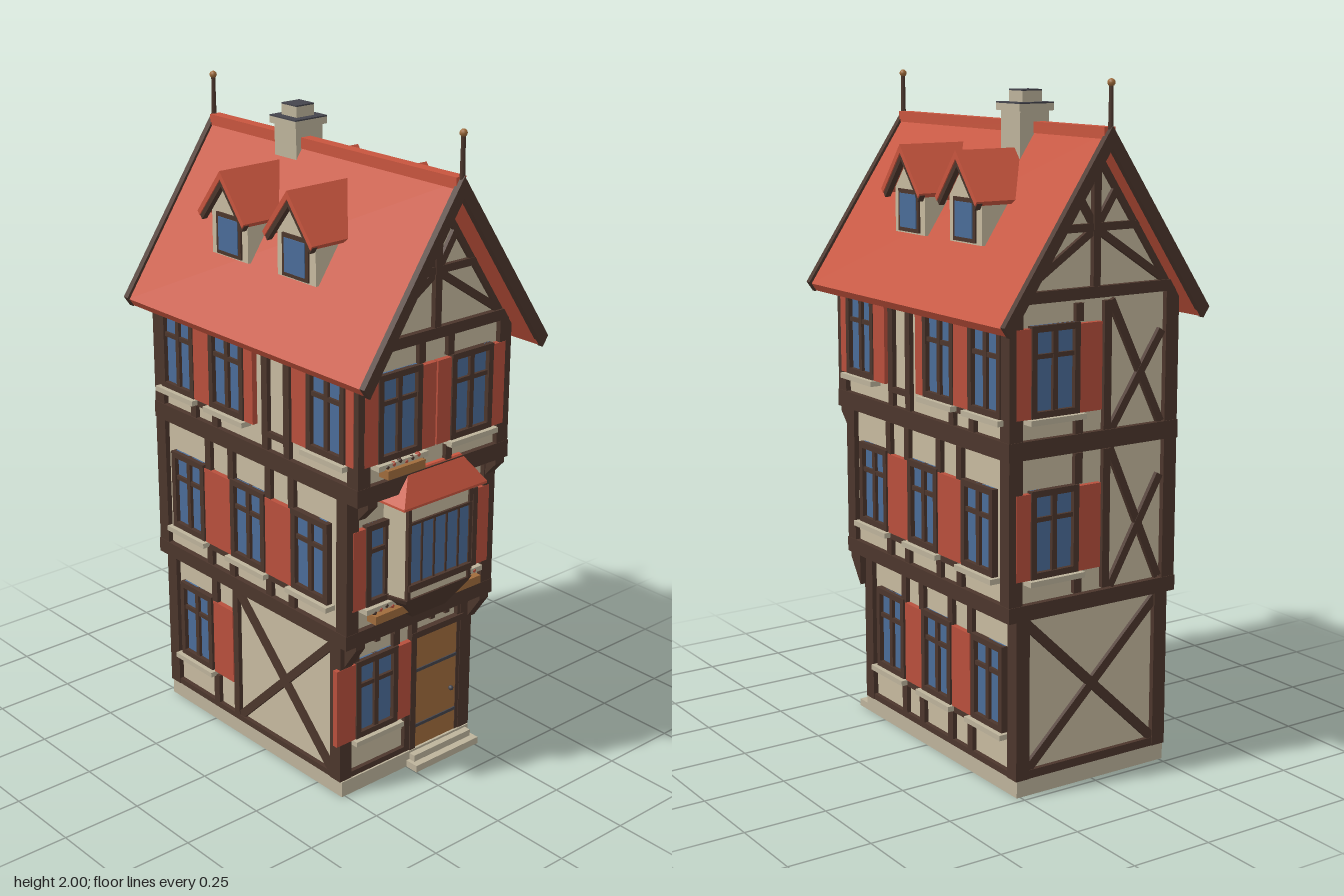
import * as THREE from 'three';

const mat = (name, color) => {
  const m = new THREE.MeshStandardMaterial({ color });
  m.name = name;
  return m;
};
const M = {
  plaster: mat('plaster', 0xc6ba9f), stone: mat('stone', 0xbdb39b), timber: mat('timber', 0x4c362c),
  glass: mat('glass', 0x4a6c98), wood: mat('wood', 0xa06c3c), roof: mat('roofTile', 0xc8553e),
  shutter: mat('shutterRed', 0xb84f3c), slate: mat('slate', 0x45454d),
};

function add(parent, name, geo, material, x = 0, y = 0, z = 0) {
  const m = new THREE.Mesh(geo, material);
  m.name = name;
  m.position.set(x, y, z);
  parent.add(m);
  return m;
}
// box given by its extents
function block(p, name, material, x0, x1, y0, y1, z0, z1) {
  return add(p, name, new THREE.BoxGeometry(Math.abs(x1 - x0), y1 - y0, z1 - z0), material, (x0 + x1) / 2, (y0 + y1) / 2, (z0 + z1) / 2);
}
// straight timber between two points of a wall
function brace(p, u0, v0, u1, v1, w = 0.022, out = 0.012) {
  const m = add(p, 'brace', new THREE.BoxGeometry(Math.hypot(u1 - u0, v1 - v0), w, out + 0.005), M.timber, (u0 + u1) / 2, (v0 + v1) / 2, (out - 0.005) / 2);
  m.rotation.z = Math.atan2(v1 - v0, u1 - u0);
}
const timber = (p, u0, u1, v0, v1, out = 0.014) => block(p, 'timber', M.timber, u0, u1, v0, v1, -0.005, out);
function prism(p, name, material, pts, z0, z1) {
  const geo = new THREE.ExtrudeGeometry(new THREE.Shape(pts.map(q => new THREE.Vector2(...q))), { depth: z1 - z0, bevelEnabled: false });
  return add(p, name, geo, material, 0, 0, z0);
}
// inverted V section: half width, eave height, peak height, vertical thickness
const chevron = (w, ye, yp, t) => [[w, ye], [0, yp], [-w, ye], [-w + t * 0.35, ye - t * 0.5], [0, yp - t], [w - t * 0.35, ye - t * 0.5]];

// casement window with frame, cross bars and sill
function windowUnit(p, uc, w, v0, v1) {
  const g = new THREE.Group();
  g.name = 'window';
  p.add(g);
  const a = uc - w / 2, b = uc + w / 2, f = 0.018, bar = v0 + (v1 - v0) * 0.64;
  block(g, 'pane', M.glass, a + 0.005, b - 0.005, v0, v1, 0, 0.006);
  for (const u of [a, b - f]) block(g, 'frameSide', M.timber, u, u + f, v0, v1, -0.002, 0.02);
  for (const v of [v0, v1 - f]) block(g, 'frameRail', M.timber, a, b, v, v + f, -0.002, 0.02);
  block(g, 'mullion', M.timber, uc - 0.008, uc + 0.008, v0, v1, -0.002, 0.016);
  block(g, 'transom', M.timber, a, b, bar, bar + 0.013, -0.002, 0.015);
  block(g, 'sill', M.stone, a - 0.012, b + 0.012, v0 - 0.016, v0, -0.002, 0.035);
}
const shutter = (p, u0, u1, v0, v1) => block(p, 'shutter', M.shutter, u0, u1, v0, v1, 0, 0.017);

function planter(p, u0, u1, v) {
  block(p, 'planter', M.wood, u0, u1, v, v + 0.026, 0.012, 0.05);
  for (let i = 0; i < 6; i++)
    add(p, 'flower', new THREE.IcosahedronGeometry(0.009, 0), i % 2 ? M.shutter : M.timber, u0 + (u1 - u0) * (i + 0.5) / 6, v + 0.03 + (i % 3) * 0.004, 0.03);
}

// storeys: half width, front, wall bottom and top, window bottom and top
const BACK = -0.465;
const FLOORS = [
  { hw: 0.25, zf: 0.34, y0: 0.04, y1: 0.53, w0: 0.175, w1: 0.43 },
  { hw: 0.275, zf: 0.395, y0: 0.53, y1: 0.99, w0: 0.635, w1: 0.887 },
  { hw: 0.275, zf: 0.44, y0: 0.99, y1: 1.41, w0: 1.09, w1: 1.345 },
];
function wall(p, name, x, z, turn) {
  const g = new THREE.Group();
  g.name = name;
  g.position.set(x, 0, z);
  g.rotation.y = turn;
  p.add(g);
  return g;
}

// side walls: window centres, shutter spans and stud positions, along z
const SIDE = [
  { win: [0.2, -0.063, -0.333], shut: [[0.113, 0.02], [-0.148, -0.245]], studs: [0.125, 0.025, -0.135, -0.24] },
  { win: [0.25, -0.033, -0.323], shut: [[0.165, 0.05], [-0.117, -0.24]], studs: [0.165, 0.06, -0.115, -0.225] },
  { win: [0.32, -0.123, -0.36], shut: [[0.243, 0.175], [0.437, 0.405], [-0.04, 0.0], [-0.203, -0.28]], studs: [0.147, 0.05, -0.185, -0.29] },
];
function sideWall(p, s) {
  FLOORS.forEach((F, i) => {
    const g = wall(p, s > 0 ? 'leftWall' : 'rightWall', s * F.hw, 0, s * Math.PI / 2);
    const U = z => -s * z, D = SIDE[i], b0 = [0.05, 0.565, 1.03][i], b1 = [0.52, 0.975, 1.4][i];
    const panel = s < 0 && i === 0;
    if (i === 0) timber(g, U(F.zf), U(BACK), 0.05, 0.068);
    for (const z of D.win) if (!panel || z < -0.2) windowUnit(g, U(z), 0.16, F.w0, F.w1);
    for (const [a, b] of D.shut) if (!panel || a < -0.1) shutter(g, U(a), U(b), F.w0, F.w1 - 0.008);
    for (const z of D.studs) {
      if (panel && z > -0.2) continue;
      const full = i === 2 && z > 0;
      timber(g, U(z) - 0.013, U(z) + 0.013, b0, full ? b1 : F.w0 - 0.012);
      timber(g, U(z) - 0.013, U(z) + 0.013, F.w1 - 0.01, b1);
    }
    if (!panel) for (const k of [0, 2]) timber(g, U(D.studs[k]), U(D.studs[k + 1]), F.w0 - 0.02, F.w0 - 0.003);
    if (panel) {
      timber(g, U(-0.15), U(-0.125), b0, b1);
      brace(g, U(-0.13), 0.06, U(0.32), 0.5, 0.026);
      brace(g, U(-0.13), 0.5, U(0.32), 0.06, 0.026, 0.013);
    }
  });
}

function gableFrame(g) {
  timber(g, -0.285, 0.285, 1.405, 1.437, 0.018);
  timber(g, -0.012, 0.012, 1.43, 1.82, 0.016);
  timber(g, -0.145, 0.145, 1.588, 1.61);
  for (const s of [-1, 1]) {
    brace(g, s * 0.24, 1.44, s * 0.01, 1.59);
    brace(g, s * 0.01, 1.61, s * 0.075, 1.71);
    brace(g, s * 0.28, 1.4, 0, 1.808, 0.028);
  }
}

function frontWall(p) {
  const [A, B, C] = FLOORS.map((F, i) => wall(p, 'frontWall' + i, 0, F.zf, 0));
  // ground floor with door
  timber(A, -0.25, 0.02, 0.05, 0.068);
  windowUnit(A, -0.122, 0.165, 0.175, 0.43);
  shutter(A, -0.038, 0.02, 0.175, 0.425);
  shutter(A, -0.28, -0.206, 0.175, 0.425);
  timber(A, -0.005, 0.035, 0.05, 0.175);
  timber(A, 0.015, 0.037, 0.05, 0.52, 0.018);
  timber(A, 0.208, 0.24, 0.05, 0.52);
  timber(A, 0.015, 0.23, 0.428, 0.448, 0.02);
  timber(A, -0.215, -0.19, 0.43, 0.52);
  timber(A, -0.055, -0.03, 0.43, 0.52);
  block(A, 'door', M.wood, 0.037, 0.21, 0.045, 0.43, 0, 0.012);
  for (const v of [0.12, 0.31]) block(A, 'doorStrap', M.slate, 0.04, 0.207, v, v + 0.01, 0.01, 0.016);
  add(A, 'doorKnob', new THREE.SphereGeometry(0.008, 10, 8), M.slate, 0.185, 0.205, 0.018);
  for (const u of [-0.15, -0.075, 0.07, 0.13]) block(A, 'joistEnd', M.timber, u - 0.009, u + 0.009, 0.495, 0.525, 0, 0.05);
  // upper floors
  for (const [g, F] of [[B, FLOORS[1]], [C, FLOORS[2]]]) {
    for (const s of [-1, 1]) {
      windowUnit(g, s * 0.138, 0.162, F.w0, F.w1);
      shutter(g, s * 0.003, s * 0.055, F.w0, F.w1 - 0.006);
      shutter(g, s * 0.22, s * 0.268, F.w0, F.w1 - 0.006);
      timber(g, s * 0.055 - 0.012, s * 0.055 + 0.012, F.w1, F.w1 + 0.08);
      timber(g, s * 0.055 - 0.012, s * 0.055 + 0.012, F.w0 - 0.07, F.w0 - 0.012);
    }
  }
  planter(B, -0.21, -0.075, 0.588);
  planter(B, 0.08, 0.21, 0.588);
  planter(C, -0.21, -0.07, 1.05);
  gableFrame(C);
}

function backWall(p) {
  const g = wall(p, 'backWall', 0, BACK, Math.PI);
  timber(g, -0.25, 0.25, 0.05, 0.075);
  brace(g, -0.23, 0.07, 0.23, 0.51, 0.028);
  brace(g, -0.23, 0.51, 0.23, 0.07, 0.028, 0.013);
  for (const F of FLOORS.slice(1)) {
    const a = F.y0 + 0.04, b = F.y1 - 0.015;
    windowUnit(g, -0.138, 0.162, F.w0, F.w1);
    shutter(g, -0.055, 0.02, F.w0, F.w1 - 0.006);
    shutter(g, -0.268, -0.22, F.w0, F.w1 - 0.006);
    timber(g, 0.03, 0.055, a, b);
    brace(g, 0.055, b, 0.235, a, 0.024);
    brace(g, 0.06, a, 0.235, b - 0.1, 0.024, 0.013);
    timber(g, -0.068, -0.042, F.w1, b);
    timber(g, -0.068, -0.042, a, F.w0 - 0.012);
  }
  gableFrame(g);
}

// four-sided solid between trapezoid sections [y, back half width, front half width, front z]
function loft(p, name, material, z0, sections) {
  const pos = [], idx = [];
  for (const [y, wb, wf, zf] of sections) pos.push(-wb, y, z0, -wf, y, zf, wf, y, zf, wb, y, z0);
  for (let s = 0; s < sections.length - 1; s++)
    for (let k = 0; k < 4; k++) {
      const a = s * 4 + k, b = s * 4 + (k + 1) % 4;
      idx.push(a, b, b + 4, a, b + 4, a + 4);
    }
  const t = (sections.length - 1) * 4;
  idx.push(0, 2, 1, 0, 3, 2, t, t + 1, t + 2, t, t + 2, t + 3);
  let geo = new THREE.BufferGeometry();
  geo.setAttribute('position', new THREE.Float32BufferAttribute(pos, 3));
  geo.setIndex(idx);
  geo = geo.toNonIndexed();
  geo.computeVertexNormals();
  return add(p, name, geo, material);
}
function bayWindow(p) {
  const g = new THREE.Group();
  g.name = 'bayWindow';
  g.position.x = 0.003;
  p.add(g);
  loft(g, 'bayBase', M.timber, 0.39, [[0.565, 0.07, 0.065, 0.44], [0.635, 0.145, 0.125, 0.475], [0.65, 0.148, 0.13, 0.482]]);
  loft(g, 'bayBody', M.plaster, 0.39, [[0.65, 0.143, 0.122, 0.475], [0.95, 0.143, 0.122, 0.475]]);
  loft(g, 'bayRoof', M.roof, 0.39, [[0.943, 0.165, 0.162, 0.502], [0.95, 0.165, 0.162, 0.502], [1.035, 0.115, 0.103, 0.452]]);
  block(g, 'bayGlass', M.glass, -0.118, 0.118, 0.7, 0.885, 0.47, 0.478);
  block(g, 'bayRail', M.timber, -0.124, 0.124, 0.678, 0.698, 0.47, 0.488);
  block(g, 'bayHead', M.timber, -0.124, 0.124, 0.882, 0.89, 0.47, 0.483);
  for (let i = 0; i < 6; i++) {
    const x = -0.12 + i * 0.048, w = i % 5 ? 0.003 : 0.006;
    block(g, 'bayMullion', M.timber, x - w, x + w, i % 5 ? 0.69 : 0.65, i % 5 ? 0.885 : 0.95, 0.47, 0.482);
  }
}

function dormer(p, s, z) {
  const g = new THREE.Group();
  g.name = 'dormer';
  g.position.z = z;
  g.rotation.y = s * Math.PI / 2;
  p.add(g);
  prism(g, 'dormerWall', M.plaster, [[-0.082, 1.54], [0.082, 1.54], [0.082, 1.67], [0, 1.77], [-0.082, 1.67]], 0.08, 0.228);
  prism(g, 'dormerRoof', M.roof, chevron(0.107, 1.665, 1.8, 0.024), 0.04, 0.262);
  prism(g, 'dormerBarge', M.timber, chevron(0.104, 1.659, 1.79, 0.036), 0.24, 0.258);
  block(g, 'dormerFrame', M.timber, -0.056, 0.056, 1.545, 1.668, 0.22, 0.234);
  block(g, 'dormerGlass', M.glass, -0.044, 0.044, 1.557, 1.656, 0.23, 0.237);
}

export function createModel() {
  const root = new THREE.Group();
  root.name = 'timberFramedHouse';
  // plinth and steps
  block(root, 'plinth', M.stone, -0.262, 0.262, 0, 0.05, -0.478, 0.36);
  block(root, 'lowerStep', M.stone, 0, 0.262, 0, 0.022, 0.3, 0.405);
  block(root, 'upperStep', M.stone, 0.012, 0.25, 0, 0.043, 0.3, 0.382);
  // storeys and corner posts
  FLOORS.forEach((F, i) => {
    block(root, 'storey', M.plaster, -F.hw, F.hw, F.y0, F.y1, BACK, F.zf);
    for (const s of [-1, 1])
      for (const z of [F.zf - 0.029, BACK - 0.016])
        block(root, 'cornerPost', M.timber, s * (F.hw + 0.016), s * (F.hw - 0.029), F.y0 + 0.01, F.y1, z, z + 0.045);
  });
  block(root, 'floorBeam', M.timber, -0.293, 0.293, 0.52, 0.565, -0.483, 0.412);
  block(root, 'floorBeam', M.timber, -0.293, 0.293, 0.978, 1.03, -0.483, 0.457);
  // brackets under the overhanging floors
  for (const s of [-1, 1])
    for (const [z, y, d, h] of [[0.35, 0.522, 0.055, 0.1], [0.405, 0.98, 0.046, 0.07]]) {
      const b = prism(root, 'bracket', M.timber, [[-z, y], [-z - d, y], [-z - d, y - 0.02], [-z, y - h]], -0.018, 0.018);
      b.geometry.rotateY(Math.PI / 2);
      b.position.set(s * 0.25, 0, 0);
    }
  sideWall(root, 1);
  sideWall(root, -1);
  frontWall(root);
  backWall(root);
  bayWindow(root);
  // roof
  prism(root, 'gable', M.plaster, [[-0.275, 1.4], [0.275, 1.4], [0.275, 1.41], [0, 1.825], [-0.275, 1.41]], BACK, 0.44);
  prism(root, 'mainRoof', M.roof, chevron(0.343, 1.355, 1.862, 0.045), -0.53, 0.53);
  block(root, 'ridgeCap', M.roof, -0.018, 0.018, 1.84, 1.872, -0.53, 0.53);
  for (const s of [-1, 1]) {
    prism(root, 'bargeboard', M.timber, chevron(0.35, 1.36, 1.875, 0.06), s * 0.534 - 0.01, s * 0.534 + 0.01);
    add(root, 'finialPole', new THREE.CylinderGeometry(0.006, 0.008, 0.15, 8), M.timber, 0, 1.91, s * 0.534);
    add(root, 'finialBall', new THREE.SphereGeometry(0.011, 10, 8), M.wood, 0, 1.989, s * 0.534);
    for (const z of [0.125, -0.172]) dormer(root, s, z);
  }
  // chimney
  block(root, 'chimney', M.stone, -0.036, 0.063, 1.7, 1.905, -0.2, -0.103);
  block(root, 'chimneyCap', M.stone, -0.046, 0.073, 1.902, 1.922, -0.21, -0.094);
  block(root, 'capSlate', M.slate, -0.046, 0.073, 1.922, 1.926, -0.21, -0.094);
  block(root, 'flue', M.stone, -0.02, 0.046, 1.92, 1.957, -0.187, -0.12);
  block(root, 'flueTop', M.slate, -0.02, 0.046, 1.957, 1.961, -0.187, -0.12);
  return root;
}
